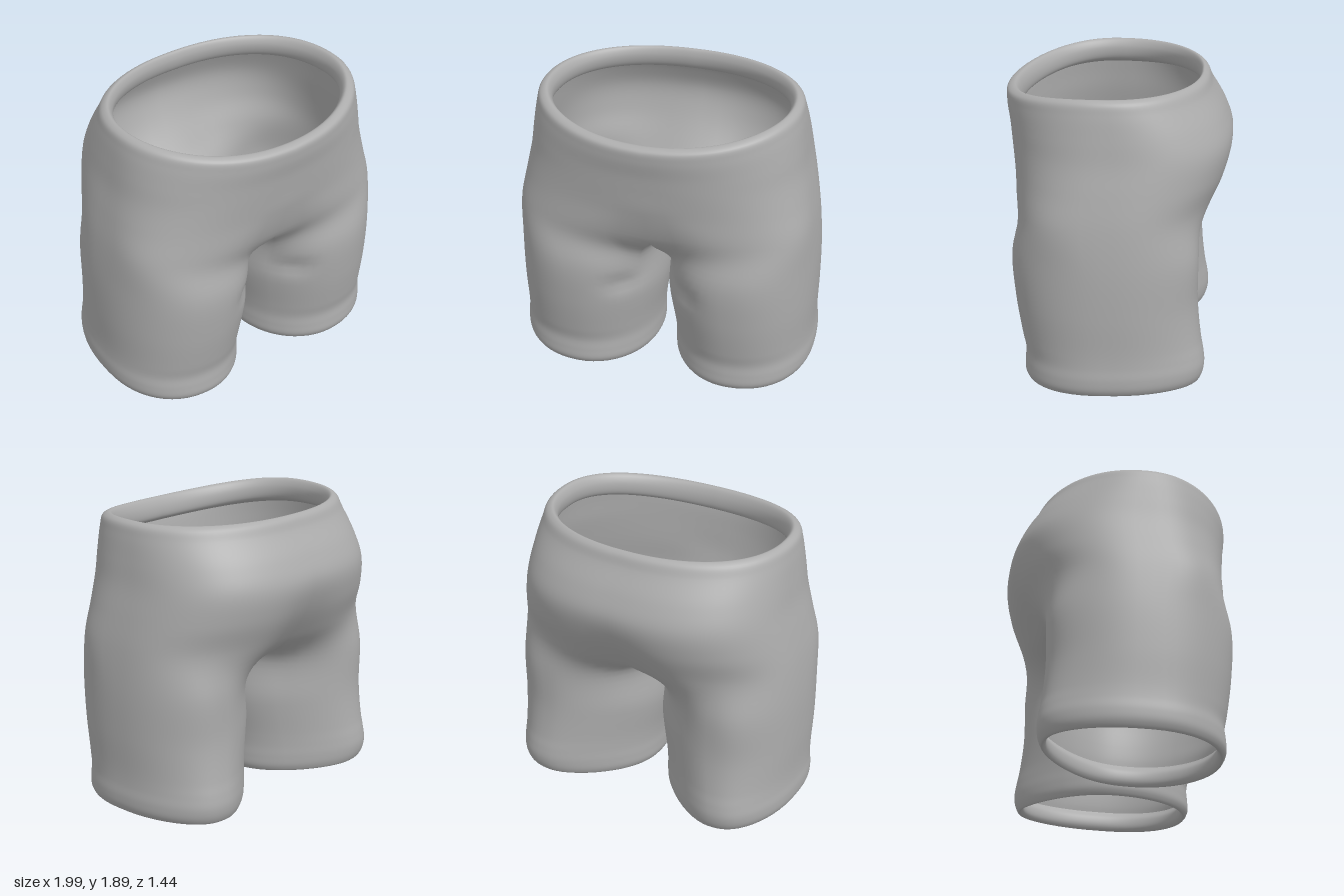
import * as THREE from 'three';
import { mergeGeometries, mergeVertices } from 'three/addons/utils/BufferGeometryUtils.js';

const ARC = 44;    // columns round the outside of one half
const INNER = 20;  // columns along the crotch and inner leg
const SUB = 6;     // steps between section rows
const OPEN = 0.95; // how far the outer columns wrap to the inner leg

// Hip sections: y, half width, front z, back z, front and back squareness,
// then front dip, back dip and sag at the centre seam
const HIPS = [
  [1.71, 0.85, 0.68, -0.63, 2.2, 2.3, 0, 0, 0],      // lip end, inside
  [1.75, 0.765, 0.63, -0.53, 2.1, 2.25, 0, 0, 0],
  [1.83, 0.75, 0.63, -0.505, 2.1, 2.2, 0, 0, 0],
  [1.885, 0.782, 0.665, -0.525, 2.1, 2.2, 0, 0, 0],  // rim
  [1.868, 0.825, 0.715, -0.56, 2.1, 2.2, 0, 0, 0],
  [1.80, 0.845, 0.718, -0.59, 2.15, 2.3, 0, 0, 0],
  [1.65, 0.868, 0.695, -0.675, 2.3, 2.5, 0, 0, 0],
  [1.50, 0.888, 0.68, -0.722, 2.4, 2.65, 0, 0, 0],   // under the waistband
  [1.32, 0.925, 0.655, -0.695, 2.65, 2.65, 0, 0.025, 0],
  [1.12, 0.96, 0.635, -0.61, 3.1, 2.75, 0.07, 0.11, 0.06],
];
// Leg sections: y, inner x, outer x, front z, back z, squareness of the inner side
const LEGS = [
  [0.85, 0.025, 0.985, 0.64, -0.53, 2.2],
  [0.55, 0.012, 0.99, 0.625, -0.53, 2],
  [0.30, 0.05, 0.985, 0.585, -0.555, 2],
  [0.20, 0.06, 0.988, 0.565, -0.572, 2],
  [0.12, 0.06, 0.996, 0.57, -0.58, 2],         // hem
  [0.05, 0.065, 0.99, 0.57, -0.568, 2],
  [0.012, 0.09, 0.965, 0.545, -0.545, 2],
  [0.04, 0.113, 0.942, 0.52, -0.52, 2],
  [0.10, 0.11, 0.945, 0.52, -0.525, 2],
  [0.15, 0.075, 0.975, 0.55, -0.56, 2],        // lip end, inside
];

const power = (v, n) => Math.sign(v) * Math.abs(v) ** (2 / n);

function hipPoint([y, w, zf, zb, nF, nB, dipF, dipB, sag], a) {
  const zc = 0.07, c = Math.cos(a), n = c > 0 ? nF : nB;
  const x = w * power(Math.sin(a), n);
  const near = Math.exp(-((x / 0.23) ** 2));
  const z = c > 0 ? zc + (zf - zc) * power(c, n) - dipF * near
    : zc + (zc - zb) * power(c, n) + dipB * near;
  // the waist dips at the front
  const drop = 0.08 * Math.max(0, c) ** 2 * THREE.MathUtils.smoothstep(y, 1.4, 1.8);
  return new THREE.Vector3(x, y - drop - sag * near, z);
}

function legPoint([y, x0, x1, zf, zb, nInner], a) {
  const zc = 0.05, s = Math.sin(a), c = Math.cos(a);
  const n = s < 0 ? nInner : c > 0 ? 2.2 : 2.35;
  const rx = (x1 - x0) / 2;
  const tilt = (0.013 + 0.02 * s - 0.018 * c) * (1 - THREE.MathUtils.smoothstep(y, 0.15, 0.5));
  const x = (x0 + x1) / 2 + rx * power(s, n);
  const z = zc + (c > 0 ? zf - zc : zc - zb) * power(c, n);
  // the inner back of the thigh is turned outwards
  const turn = 0.65 * Math.min(0, z) ** 2 * (x1 - x) / (x1 - x0);
  return new THREE.Vector3(x + turn, y + tilt, z);
}

// Smooth column through the section points, with a soft fold at the inner leg
function column(points) {
  const curve = new THREE.CatmullRomCurve3(points);
  return curve.getPoints((points.length - 1) * SUB).map((p) => {
    p.x = Math.max(0, p.x);
    if (p.z > 0) p.z -= 0.04 * Math.exp(-(((p.x - 0.2) / 0.09) ** 2) - ((p.y - 0.67) / 0.06) ** 2);
    return p;
  });
}

// Skin between neighbouring columns
function patch(columns, mirror) {
  const rows = columns[0].length, pos = [], index = [];
  for (const col of columns) for (const p of col) pos.push(mirror ? -p.x : p.x, p.y, p.z);
  for (let i = 0; i < columns.length - 1; i++) {
    for (let j = 0; j < rows - 1; j++) {
      const a = i * rows + j, b = a + 1, c = a + rows, d = c + 1;
      if (mirror) index.push(a, c, b, b, c, d);
      else index.push(a, b, c, b, d, c);
    }
  }
  const g = new THREE.BufferGeometry();
  g.setAttribute('position', new THREE.Float32BufferAttribute(pos, 3));
  g.setIndex(index);
  return g;
}

export function createModel() {
  const fabric = new THREE.MeshStandardMaterial({ color: 0xacacac, side: THREE.DoubleSide });
  fabric.name = 'grey fabric';

  // Outer columns run from the waist to the hem
  const outer = [];
  for (let i = 0; i <= ARC; i++) {
    const t = i / ARC, legAngle = -OPEN + t * (Math.PI + 2 * OPEN);
    outer.push(column([
      ...HIPS.map((r) => hipPoint(r, t * Math.PI)),
      ...LEGS.map((r) => legPoint(r, legAngle)),
    ]));
  }

  // Crotch seam from back to front
  const hipRow = HIPS[HIPS.length - 1];
  const seam = new THREE.CatmullRomCurve3([
    hipPoint(hipRow, Math.PI),
    new THREE.Vector3(0, 0.985, -0.38),
    new THREE.Vector3(0, 0.91, -0.2),
    new THREE.Vector3(0, 0.88, 0.02),
    new THREE.Vector3(0, 0.91, 0.25),
    new THREE.Vector3(0, 0.985, 0.44),
    hipPoint(hipRow, 0),
  ]);

  // Inner columns run from the crotch seam to the hem
  const start = (HIPS.length - 1) * SUB;
  const inner = [outer[ARC].slice(start)];
  for (let i = 1; i < INNER; i++) {
    const t = i / INNER;
    const angle = Math.PI + OPEN + t * (Math.PI - 2 * OPEN);
    inner.push(column([seam.getPoint(t), ...LEGS.map((r) => legPoint(r, angle))]));
  }
  inner.push(outer[0].slice(start));

  // Both halves welded into one smooth garment
  const parts = [false, true].flatMap((m) => [patch(outer, m), patch(inner, m)]);
  const geometry = mergeVertices(mergeGeometries(parts), 1e-4);
  geometry.computeVertexNormals();

  const shorts = new THREE.Mesh(geometry, fabric);
  shorts.name = 'shorts';
  const group = new THREE.Group();
  group.name = 'shortTrousers';
  group.add(shorts);
  return group;
}
